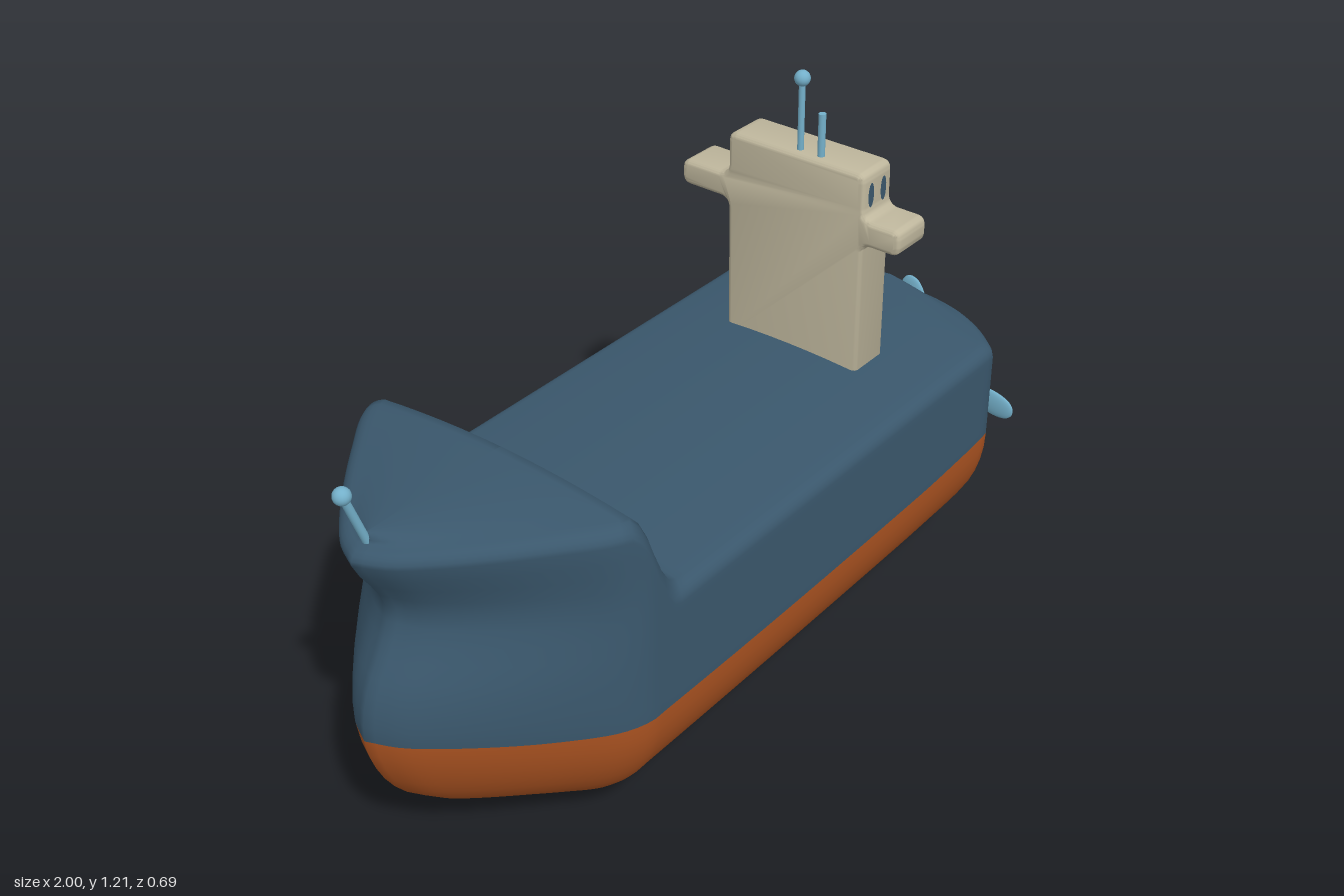
import * as THREE from 'three';
import { toCreasedNormals } from 'three/addons/utils/BufferGeometryUtils.js';

const mat = (name, color) => new THREE.MeshStandardMaterial({ name, color });

// Smooth interpolation through [key, value] pairs
function spline(keys) {
  const n = keys.length - 1;
  const slope = (i) => {
    const a = keys[Math.max(i - 1, 0)], b = keys[Math.min(i + 1, n)];
    return (b[1] - a[1]) / (b[0] - a[0]);
  };
  return (t) => {
    if (t <= keys[0][0]) return keys[0][1];
    if (t >= keys[n][0]) return keys[n][1];
    let i = 0;
    while (t > keys[i + 1][0]) i++;
    const h = keys[i + 1][0] - keys[i][0], u = (t - keys[i][0]) / h, u2 = u * u, u3 = u2 * u;
    return (2 * u3 - 3 * u2 + 1) * keys[i][1] + (u3 - 2 * u2 + u) * h * slope(i)
      + (3 * u2 - 2 * u3) * keys[i + 1][1] + (u3 - u2) * h * slope(i + 1);
  };
}

// Hull: horizontal outlines stacked from keel to deck centreline
function hullGeometry() {
  const W = 0.342, SHOULDER = -0.58, HALF = 100;
  const bowX = spline([[0, -0.6], [0.02, -0.67], [0.05, -0.74], [0.1, -0.83], [0.15, -0.9], [0.22, -0.955],
    [0.3, -0.99], [0.36, -1], [0.42, -0.993], [0.47, -0.975], [0.53, -0.94], [0.6, -0.913],
    [0.66, -0.935], [0.7, -0.96], [0.74, -0.98], [0.8, -0.98]]);
  const sternX = (y) => 0.7 - 0.05 * Math.max(0, 1 - y / 0.2) ** 3;
  const deckY = (x) => 0.585 + 0.205 * THREE.MathUtils.smoothstep(-x, 0.515, 0.64);
  const waterY = spline([[-1, 0.355], [-0.7, 0.315], [0.3, 0.315], [0.7, 0.345]]);

  // Half plan outline, stern to bow
  const plan = [];
  for (const u of [0, 0.2, 0.4, 0.6, 0.75, 0.87, 0.95, 0.99]) plan.push([0.7 - 0.12 * u ** 3, u * W]);
  for (let x = 0.54; x > -0.57; x -= 0.1) plan.push([x, W]);
  plan.push([-0.6, W], [-0.66, 0.94 * W], [-0.75, 0.75 * W], [-0.84, 0.54 * W], [-0.92, 0.33 * W],
    [-0.97, 0.17 * W], [-1, 0]);
  const half = new THREE.CatmullRomCurve3(plan.map(([x, z]) => new THREE.Vector3(x, 0, z)), false, 'centripetal')
    .getSpacedPoints(HALF);
  const loop = [...half, ...half.slice(1, -1).reverse().map((p) => new THREE.Vector3(p.x, 0, -p.z))];

  // Rows: bottom curve, straight side, rounded edge, crowned deck
  const R = 0.03, CROWN = 0.02, rows = [];
  for (let i = 0; i <= 14; i++) {
    const a = i / 14 * Math.PI / 2;
    rows.push((x) => [waterY(x) * (1 - Math.cos(a)), Math.sin(a), 0]);
  }
  for (let i = 1; i <= 12; i++)
    rows.push((x) => [THREE.MathUtils.lerp(waterY(x), deckY(x) - CROWN - R, i / 12), 1, 0]);
  for (let i = 1; i <= 5; i++) {
    const a = i / 5 * Math.PI / 2, inset = R * (1 - Math.cos(a));
    rows.push((x) => [deckY(x) - CROWN - R + R * Math.sin(a), 1 - inset / W, inset]);
  }
  for (let i = 1; i <= 6; i++) {
    const k = 1 - i / 6;
    rows.push((x) => [deckY(x) - CROWN * k * k, k * (1 - R / W), R]);
  }

  const n = loop.length, pos = [], index = [];
  for (const row of rows) {
    for (const p of loop) {
      const [y, k, inset] = row(p.x);
      let x = p.x;
      if (x < SHOULDER) x = SHOULDER + (x - SHOULDER) / (-1 - SHOULDER) * (bowX(y) - SHOULDER);
      else x += (sternX(y) - 0.7) * THREE.MathUtils.smoothstep(x, 0.4, 0.7);
      pos.push(x * (1 - inset / 0.85), y, p.z * k);
    }
  }
  for (let j = 0; j < rows.length - 1; j++) {
    for (let i = 0; i < n; i++) {
      const a = j * n + i, b = j * n + (i + 1) % n;
      index.push(a, a + n, b, b, a + n, b + n);
    }
  }
  const g = new THREE.BufferGeometry();
  g.setAttribute('position', new THREE.Float32BufferAttribute(pos, 3));
  g.setIndex(index);
  g.computeVertexNormals();
  const split = 14 * n * 6;
  g.addGroup(0, split, 0);
  g.addGroup(split, index.length - split, 1);
  return g;
}

// Closed shape with rounded corners from [x, y, radius] points
function roundedShape(pts) {
  const s = new THREE.Shape();
  pts.forEach(([x, y, r], i) => {
    const c = new THREE.Vector2(x, y);
    const toward = (q) => new THREE.Vector2(q[0], q[1]).sub(c).setLength(r).add(c);
    const a = toward(pts[(i + pts.length - 1) % pts.length]), b = toward(pts[(i + 1) % pts.length]);
    if (i) s.lineTo(a.x, a.y); else s.moveTo(a.x, a.y);
    s.quadraticCurveTo(x, y, b.x, b.y);
  });
  s.closePath();
  return s;
}

export function createModel() {
  const blue = mat('hull blue', 0x3a576c), rust = mat('rust orange', 0xab5321);
  const cream = mat('cream', 0xbfb79d), sky = mat('light blue', 0x74b0ca);
  const model = new THREE.Group();
  model.name = 'cargoShip';
  const add = (name, geo, material, parent = model) => {
    const m = new THREE.Mesh(geo, material);
    m.name = name;
    parent.add(m);
    return m;
  };
  // Round rod between two points, with an optional ball at its end
  const rod = (name, from, to, r, material, ball) => {
    const a = new THREE.Vector3(...from), b = new THREE.Vector3(...to), d = b.clone().sub(a);
    const m = add(name, new THREE.CylinderGeometry(r, r, d.length(), 16), material);
    m.position.copy(a).lerp(b, 0.5);
    m.quaternion.setFromUnitVectors(new THREE.Vector3(0, 1, 0), d.normalize());
    if (ball) add(name + 'Ball', new THREE.SphereGeometry(ball, 20, 14), material).position.copy(b);
  };

  add('hull', hullGeometry(), [rust, blue]);

  // Bridge tower with wings, drawn across the ship and extruded along it
  const tower = new THREE.ExtrudeGeometry(roundedShape([
    [-0.175, 0.55, 0.004], [0.17, 0.55, 0.004], [0.17, 0.882, 0.022], [0.295, 0.882, 0.022],
    [0.295, 0.94, 0.022], [0.17, 0.94, 0.025], [0.17, 1.04, 0.022], [-0.175, 1.04, 0.022],
    [-0.175, 0.94, 0.025], [-0.265, 0.94, 0.022], [-0.265, 0.882, 0.022], [-0.175, 0.882, 0.022],
  ]), { depth: 0.081, bevelThickness: 0.012, bevelSize: 0.012, bevelOffset: -0.012, bevelSegments: 4, curveSegments: 8 });
  tower.translate(0, 0, 0.292).rotateY(Math.PI / 2);
  add('bridgeTower', toCreasedNormals(tower, 0.6), cream);

  // Oval windows facing the stern
  const windows = new THREE.Group();
  windows.name = 'windows';
  model.add(windows);
  const oval = (x, y, z, w, h, turn) => {
    const m = add('window', new THREE.CircleGeometry(0.5, 20), blue, windows);
    m.scale.set(w, h, 1);
    m.position.set(x, y, z);
    m.rotation.y = turn;
  };
  for (const y of [0.84, 0.75, 0.66])
    for (const z of [0.145, 0.088, 0.022, -0.038, -0.105]) oval(0.3865, y, z, 0.03, y > 0.8 ? 0.062 : 0.052, Math.PI / 2);
  for (let i = 0; i < 8; i++) oval(0.3865, 0.992, 0.155 - i * 0.0425, 0.026, 0.044, Math.PI / 2);
  // Side windows
  for (const x of [0.308, 0.352]) {
    oval(x, 0.988, 0.1765, 0.02, 0.055, 0);
    oval(x, 0.988, -0.1715, 0.02, 0.055, Math.PI);
  }

  // Masts
  rod('mainMast', [0.305, 1.03, 0], [0.305, 1.197, 0], 0.007, sky, 0.017);
  rod('shortMast', [0.305, 1.03, 0.052], [0.305, 1.134, 0.052], 0.008, sky);
  rod('bowMast', [-0.94, 0.77, 0], [-0.982, 0.888, 0], 0.008, sky, 0.017);

  // Propeller shaft and blades
  rod('propellerShaft', [0.66, 0.23, 0], [0.98, 0.23, 0], 0.007, rust, 0.017);
  const profile = new THREE.SplineCurve([[0.0001, 0], [0.011, 0.015], [0.018, 0.07], [0.029, 0.14], [0.033, 0.19],
    [0.026, 0.225], [0.012, 0.24], [0.0001, 0.243]].map(([x, y]) => new THREE.Vector2(x, y))).getPoints(32);
  profile.forEach((p) => { p.x = Math.max(p.x, 0); });
  const blade = new THREE.LatheGeometry(profile, 24);
  for (let i = 0; i < 3; i++) {
    const m = add('propellerBlade', blade, sky);
    m.position.set(0.89, 0.23, 0);
    m.rotation.x = -0.33 + i * Math.PI * 2 / 3;
    m.scale.x = 0.27;
  }
  return model;
}
